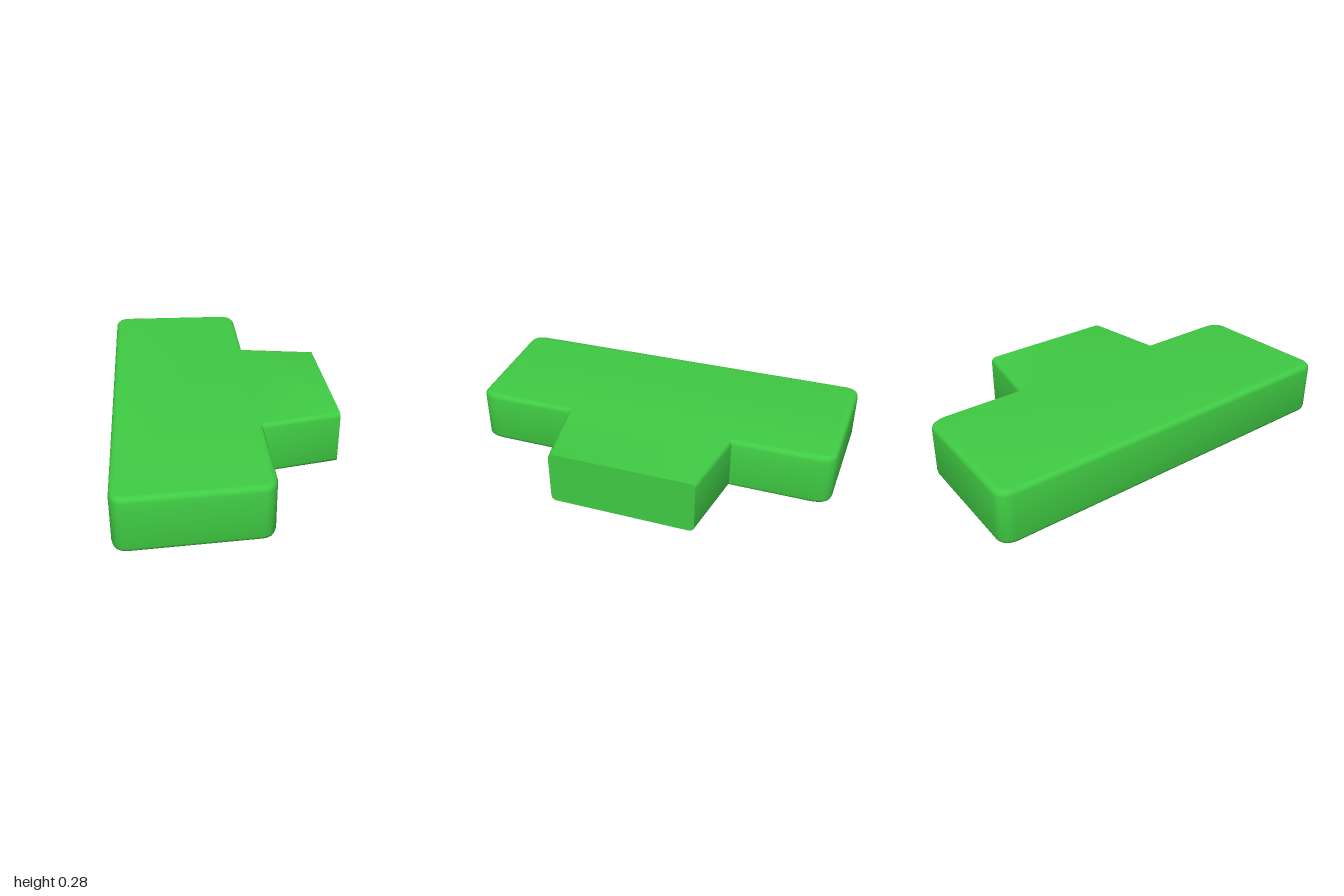
import * as THREE from 'three';
import { toCreasedNormals } from 'three/addons/utils/BufferGeometryUtils.js';

const HEIGHT = 0.285, ROOF = 0.215, BEVEL = 0.025, WALL = 0.05;
const TAB_X = 0.57;

// Plan outline in (x, z): a long bar with rounded corners and a tapered tab on +x
function planOutline() {
  const s = new THREE.Shape();
  s.moveTo(-0.57, -0.93);
  s.quadraticCurveTo(-0.56, -1, -0.5, -1);
  s.lineTo(0.1, -0.977);
  s.quadraticCurveTo(0.165, -0.97, 0.17, -0.88);
  s.lineTo(0.17, -0.455);
  s.lineTo(TAB_X, -0.385);
  s.lineTo(TAB_X, 0.37);
  s.lineTo(0.17, 0.44);
  s.lineTo(0.17, 0.875);
  s.quadraticCurveTo(0.165, 0.965, 0.1, 0.97);
  s.lineTo(-0.5, 1);
  s.quadraticCurveTo(-0.56, 1, -0.57, 0.93);
  s.closePath();
  const pts = s.getPoints(5);
  if (pts[0].distanceTo(pts[pts.length - 1]) < 1e-6) pts.pop();
  return pts;
}

// Moves every edge inward by d; the flat tab end moves by endD instead
function inset(pts, d, endD) {
  const n = pts.length;
  const edges = pts.map((p, i) => {
    const q = pts[(i + 1) % n];
    const t = q.clone().sub(p).normalize();
    const isEnd = p.x > TAB_X - 0.01 && q.x > TAB_X - 0.01;
    return { x: -t.y, y: t.x, d: isEnd ? endD : d };
  });
  return pts.map((p, i) => {
    const a = edges[(i + n - 1) % n], b = edges[i];
    const det = a.x * b.y - a.y * b.x;
    return new THREE.Vector2(
      p.x + (a.d * b.y - b.d * a.y) / det,
      p.y + (a.x * b.d - b.x * a.d) / det
    );
  });
}

// Wall section from the top edge, down the outside, round the lip and up the inside
function wallSection() {
  const section = [];
  const steps = 3;
  for (let i = 0; i <= steps; i++) {
    const a = (i / steps) * Math.PI / 2;
    section.push([BEVEL * (1 - Math.sin(a)), HEIGHT - BEVEL * (1 - Math.cos(a)), 0]);
  }
  for (let i = 0; i <= steps; i++) {
    const a = (i / steps) * Math.PI / 2;
    section.push([BEVEL * (1 - Math.cos(a)), BEVEL * (1 - Math.sin(a)), 0]);
  }
  section.push([WALL - 0.01, 0, WALL - 0.01]);
  section.push([WALL, 0.01, WALL]);
  section.push([WALL + 0.006, ROOF, WALL + 0.006]);
  return section;
}

function shellGeometry() {
  const outline = planOutline();
  const n = outline.length;
  const positions = [], index = [];
  const rings = wallSection().map(([d, y, endD]) => {
    const ring = inset(outline, d, endD);
    ring.forEach(p => positions.push(p.x, y, p.y));
    return ring;
  });

  // Walls between neighbouring rings
  for (let r = 0; r < rings.length - 1; r++) {
    for (let i = 0; i < n; i++) {
      const j = (i + 1) % n;
      const a = r * n + i, b = r * n + j, c = b + n, e = a + n;
      index.push(a, b, c, a, c, e);
    }
  }

  // Top face, and the underside of the roof inside the shell
  const last = rings.length - 1;
  for (const [a, b, c] of THREE.ShapeUtils.triangulateShape(rings[0], [])) index.push(a, c, b);
  for (const [a, b, c] of THREE.ShapeUtils.triangulateShape(rings[last], [])) {
    index.push(last * n + a, last * n + b, last * n + c);
  }

  const geometry = new THREE.BufferGeometry();
  geometry.setAttribute('position', new THREE.Float32BufferAttribute(positions, 3));
  geometry.setIndex(index);
  return toCreasedNormals(geometry, 0.7);
}

export function createModel() {
  const group = new THREE.Group();
  group.name = 'hollowTShapedCap';
  const shell = new THREE.Mesh(shellGeometry(), new THREE.MeshStandardMaterial({ color: 0x40cc44 }));
  shell.name = 'shell';
  group.add(shell);
  return group;
}
